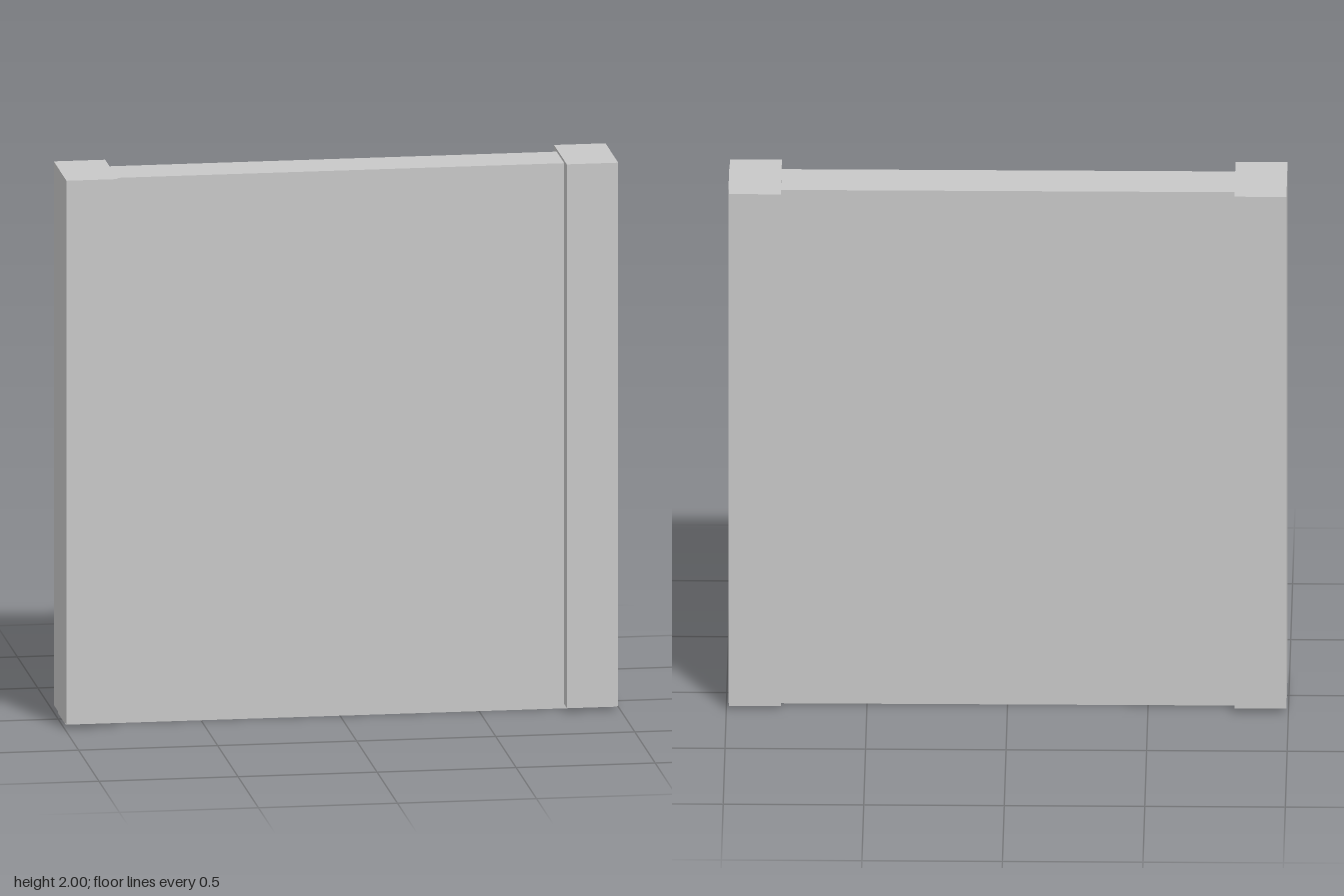
import * as THREE from 'three';

// Hollow box open at the bottom, given by its extents
function openBox(x0, x1, y0, y1, depth, material, name) {
  const geometry = new THREE.BoxGeometry(x1 - x0, y1 - y0, depth);
  // Drop the bottom face (fourth of six sides, six indices each)
  const index = Array.from(geometry.index.array);
  index.splice(18, 6);
  geometry.setIndex(index);
  geometry.clearGroups();
  const mesh = new THREE.Mesh(geometry, material);
  mesh.position.set((x0 + x1) / 2, (y0 + y1) / 2, 0);
  mesh.name = name;
  return mesh;
}

export function createModel() {
  const model = new THREE.Group();
  model.name = 'wallSection';

  const concrete = new THREE.MeshStandardMaterial({ color: 0xc8c8c8, side: THREE.DoubleSide });
  concrete.name = 'light grey concrete';

  // Wall panel, its left end just proud of the post
  const panel = new THREE.Group();
  panel.name = 'wallPanel';
  panel.add(openBox(-0.987, 0.993, 0, 1.99, 0.186, concrete, 'panelShell'));

  // Inner web dividing the hollow panel in the middle
  const web = new THREE.Mesh(new THREE.PlaneGeometry(0.186, 1.99), concrete);
  web.rotation.y = Math.PI / 2;
  web.position.set(0.003, 0.995, 0);
  web.name = 'panelWeb';
  panel.add(web);
  model.add(panel);

  // End posts
  model.add(openBox(-0.993, -0.808, 0.016, 2, 0.312, concrete, 'rightPost'));
  model.add(openBox(0.806, 0.991, 0.016, 2, 0.312, concrete, 'leftPost'));

  return model;
}
